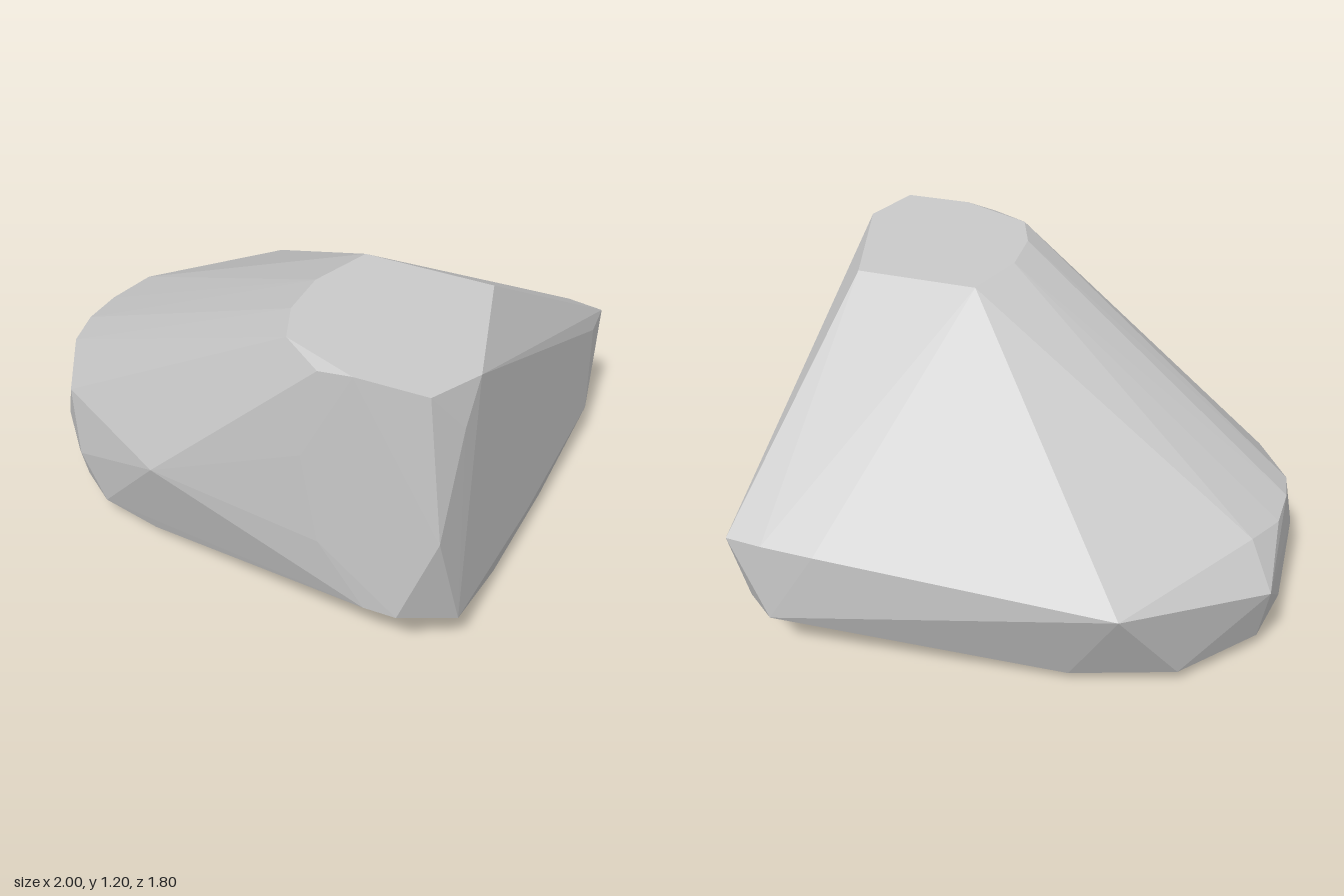
import * as THREE from 'three';
import { ConvexGeometry } from 'three/addons/geometries/ConvexGeometry.js';

// Faceted boulder: the convex skin around a handful of corner points
export function createModel() {
  const stone = new THREE.MeshStandardMaterial({ color: 0xc9c9c9, flatShading: true });
  stone.name = 'pale grey stone';

  // flat crown
  const crown = [
    [0.34, 1.2, 0.15], [0.84, 1.2, 0.15], [1, 1.19, 0.68], [0.91, 1.2, 0.89],
    [0.64, 1.2, 0.895], [0.51, 1.18, 0.89], [0.34, 1.2, 0.78], [0.27, 1.2, 0.61], [0.26, 1.2, 0.4],
  ];
  // front wall
  const front = [
    [0.975, 0.63, 0.9], [0.83, 0.24, 0.9], [0.7, 0.23, 0.895], [0.45, 0.82, 0.895],
    [0.52, 0.47, 0.9], [-0.2, 0.49, 0.84], [-0.7, 0.23, 0.59], [-0.79, 0.46, 0.5], [0.99, 1.03, 0.77],
  ];
  // rear wall below the long slope
  const rear = [
    [1, 0.58, -0.7], [0.98, 0.57, -0.885], [0.83, 0.575, -0.903], [0.62, 0.57, -0.903],
    [0.83, 0.23, -0.9], [-0.53, 0.5, -0.84],
  ];
  // blunt narrow end
  const tip = [
    [-1, 0.38, -0.37], [-0.9, 0.55, -0.28], [-0.97, 0.52, -0.1], [-0.97, 0.52, 0.08],
    [-0.945, 0.5, 0.23], [-0.98, 0.28, 0.24], [-0.89, 0.25, 0.39],
    [-0.95, 0.08, -0.27], [-0.99, 0.08, 0], [-0.93, 0.085, 0.27],
  ];
  // underside corners, mirrored front to back
  const base = [];
  for (const s of [1, -1]) {
    base.push([1, 0.17, 0.73 * s], [0.97, 0.015, 0.27 * s], [0.47, 0, 0.28 * s], [-0.3, 0.06, 0.68 * s]);
  }
  base.push([1, 0.13, 0], [-0.7, 0.07, -0.56], [-0.7, 0.1, 0.55], [-0.82, 0.1, 0.44], [-0.55, 0.085, 0.65]);

  const points = [...crown, ...front, ...rear, ...tip, ...base].map((p) => new THREE.Vector3(...p));
  const boulder = new THREE.Mesh(new ConvexGeometry(points), stone);
  boulder.name = 'boulder';

  const group = new THREE.Group();
  group.name = 'rock';
  group.add(boulder);
  return group;
}
